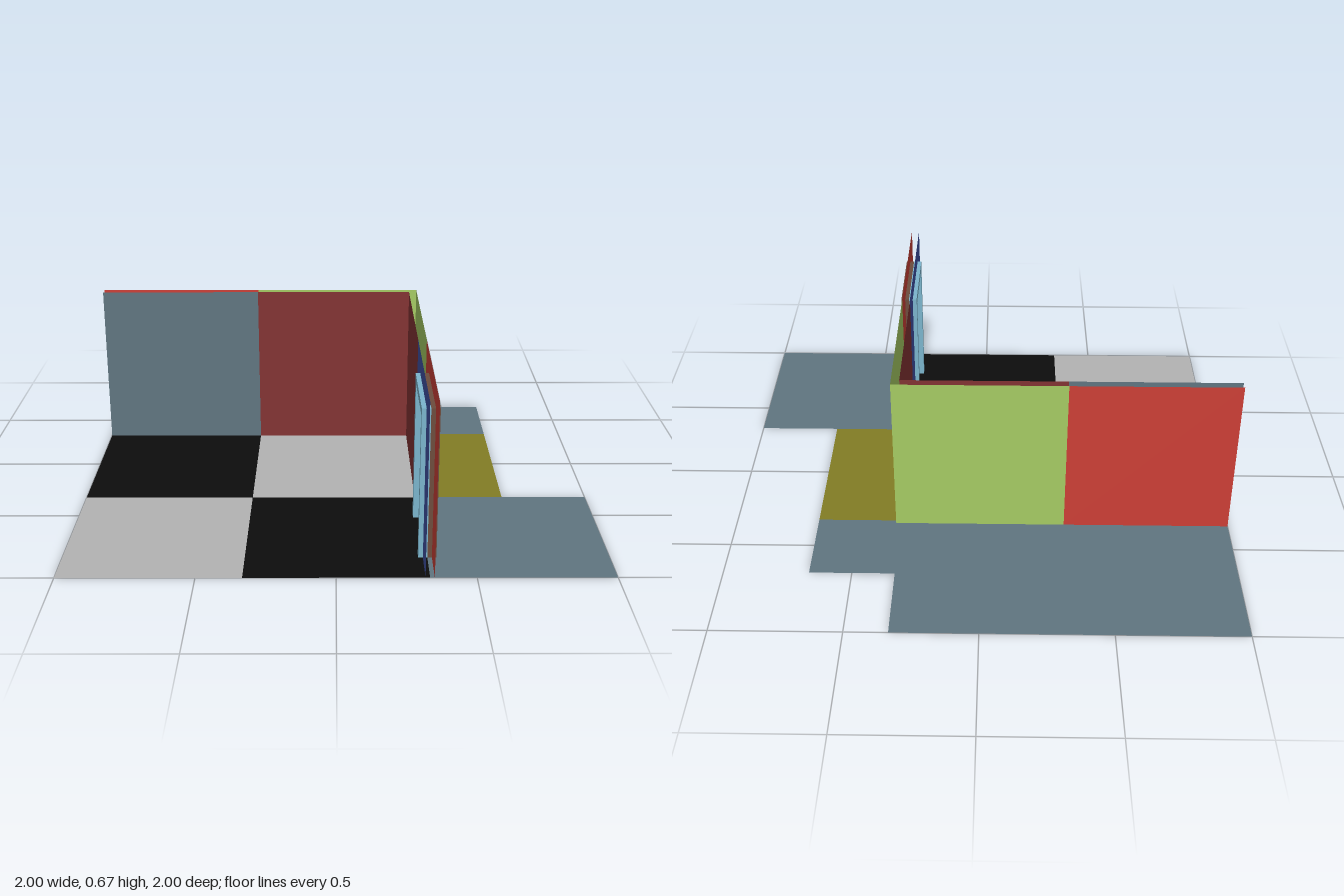
import * as THREE from 'three';

const T = 1 / 3, H = 2 / 3, IN = 0.317, OUT = 0.35;
const C = {
  slate: 0x607580, black: 0x0d0d0d, grey: 0xb2b2b2, olive: 0x827d24,
  red: 0xcc3f36, green: 0xa5cb63, maroon: 0x823333, indigo: 0x3f51a5,
  brown: 0x6d4c3d, sky: 0x7ab4cc,
};

export function createModel() {
  const room = new THREE.Group();
  room.name = 'room';

  function add(name, geometry, color, doubleSided = true) {
    const side = doubleSided ? THREE.DoubleSide : THREE.FrontSide;
    const mesh = new THREE.Mesh(geometry, new THREE.MeshStandardMaterial({ color, side }));
    mesh.name = name;
    room.add(mesh);
    return mesh;
  }

  // Flat outline from x,y pairs
  const outline = (...p) => {
    const pts = [];
    for (let i = 0; i < p.length; i += 2) pts.push(new THREE.Vector2(p[i], p[i + 1]));
    return new THREE.Shape(pts);
  };

  // Floor: outlines use x and z, laid flat facing up
  function floor(name, color, ...xz) {
    const flipped = xz.map((v, i) => (i % 2 ? -v : v));
    add(name, new THREE.ShapeGeometry(outline(...flipped)).rotateX(-Math.PI / 2), color);
  }
  const rect = (x0, z0, x1, z1) => [x0, z1, x1, z1, x1, z0, x0, z0];
  floor('backLeftTile', C.black, ...rect(-1, -T, -T, T));
  floor('backRightTile', C.grey, ...rect(-T, -T, T, T));
  floor('frontLeftTile', C.grey, ...rect(-1, T, -T, 1));
  floor('frontRightTile', C.black, ...rect(-T, T, T, 1));
  floor('sideStrip', C.olive, ...rect(T, -T, H, T));
  floor('doorstepGround', C.slate, ...rect(T, T, 1, 1));
  floor('backGround', C.slate, -1, -T, H, -T, H, -H, T, -H, T, -1, -1, -1);

  // Back wall: thin inner and outer skins
  function backPanel(name, color, x0, x1, z, outward) {
    const g = new THREE.PlaneGeometry(x1 - x0, H);
    if (outward) g.rotateY(Math.PI);
    add(name, g, color).position.set((x0 + x1) / 2, H / 2, z);
  }
  backPanel('backWallInnerLeft', C.slate, -1, -T, -IN, false);
  backPanel('backWallInnerRight', C.maroon, -T, IN, -IN, false);
  backPanel('backWallOuterLeft', C.red, -1, -T, -OUT, true);
  backPanel('backWallOuterRight', C.green, -T, OUT, -OUT, true);

  // Side wall: shapes drawn in (-z, y), then turned to face +x
  function sidePanel(name, color, shape, x, inward) {
    const g = new THREE.ShapeGeometry(shape).rotateY(Math.PI / 2);
    if (inward) {
      g.setIndex([...g.index.array].reverse());
      g.attributes.normal.array.forEach((v, i, a) => { a[i] = -v; });
    }
    add(name, g, color).position.x = x;
  }
  const block = (z0, z1) => outline(-z1, 0, -z0, 0, -z0, H, -z1, H);
  // Upside-down U: outer limits z0..z1, top, and opening a..b, height h
  const arch = (z0, z1, top, a, b, h) =>
    outline(-z1, 0, -b, 0, -b, h, -a, h, -a, 0, -z0, 0, -z0, top, -z1, top);

  sidePanel('sideWallInner', C.maroon, block(-IN, T), IN, true);
  sidePanel('sideWallOuter', C.green, block(-OUT, T), OUT, false);
  const doorWall = arch(T, 1, H, 0.5, 0.833, 0.57);
  sidePanel('doorWallInner', C.indigo, doorWall, IN, true);
  sidePanel('doorWallOuter', C.red, doorWall, OUT, false);

  // Door frame: two solid casings meeting mid-wall
  const casing = arch(0.483, 0.85, 0.585, 0.517, 0.817, 0.553);
  for (const [name, color, x] of [['doorFrameInner', C.sky, 0.3], ['doorFrameOuter', C.brown, T]]) {
    const g = new THREE.ExtrudeGeometry(casing, { depth: 0.0333, bevelEnabled: false });
    add(name, g.rotateY(Math.PI / 2), color, false).position.x = x;
  }

  return room;
}
